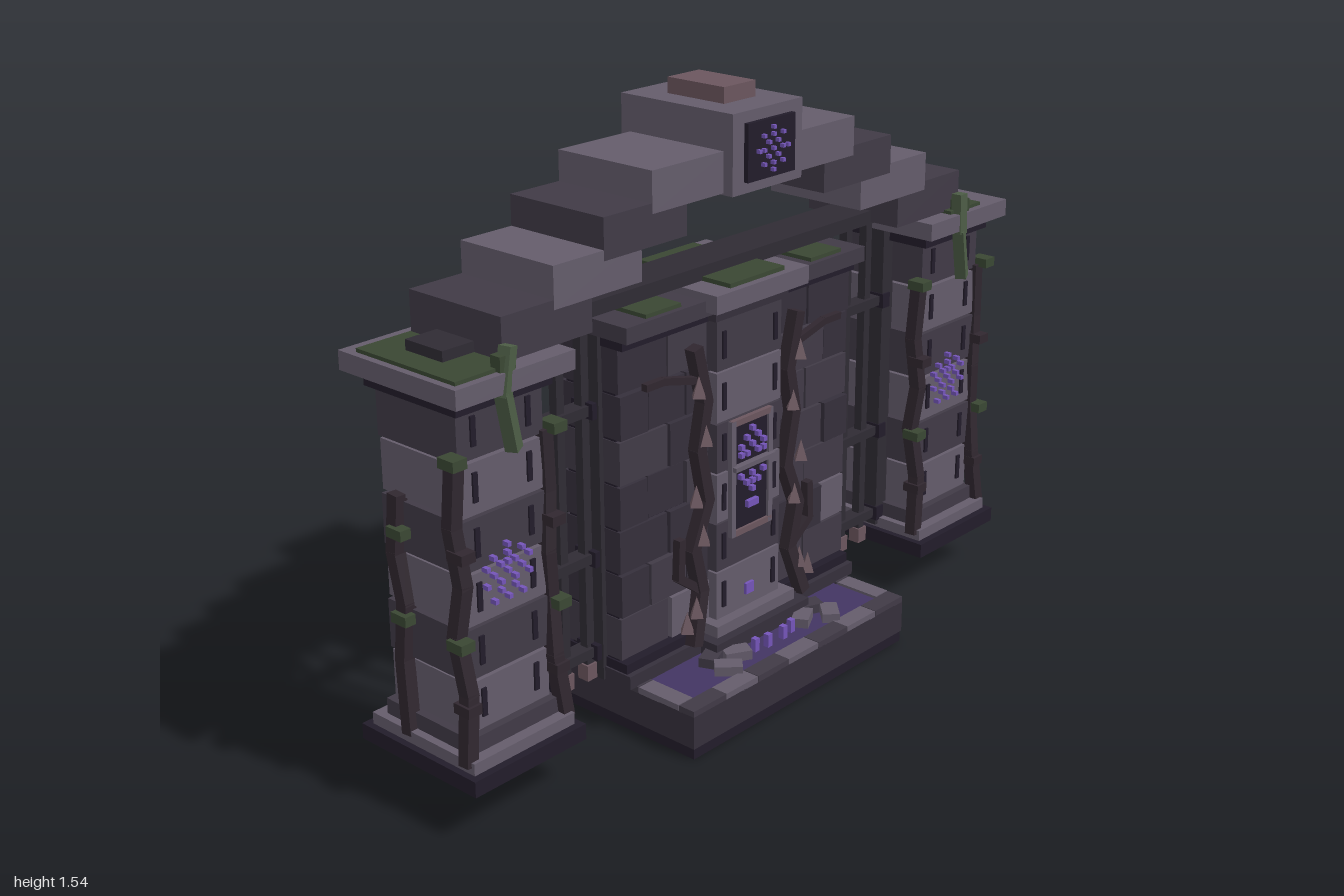
import * as THREE from 'three';

const mats = {};
const COLORS = {
  black: 0x221c2a, dark: 0x403a46, mid: 0x352f3b, light: 0x645c6b, iron: 0x2f2b34,
  vine: 0x30272f, moss: 0x3a4733, leaf: 0x4c5c45, rose: 0x6b565e, pool: 0x433562, rune: 0x7455b8,
};
const mat = (c) => (mats[c] ??= new THREE.MeshStandardMaterial({ color: COLORS[c], flatShading: true }));

let seed = 7;
const rand = () => (seed = (seed * 16807) % 2147483647) / 2147483647;

// Box given by its min and max on each axis
function block(parent, name, c, x0, x1, y0, y1, z0, z1) {
  const m = new THREE.Mesh(new THREE.BoxGeometry(x1 - x0, y1 - y0, z1 - z0), mat(c));
  m.position.set((x0 + x1) / 2, (y0 + y1) / 2, (z0 + z1) / 2);
  m.name = name;
  parent.add(m);
  return m;
}
// Box given by centre and size
const cube = (parent, name, c, x, y, z, w, h, d) =>
  block(parent, name, c, x - w / 2, x + w / 2, y - h / 2, y + h / 2, z - d / 2, z + d / 2);

// Chain of square stems through points
function vine(parent, name, c, pts, t) {
  const v = pts.map((p) => new THREE.Vector3(...p));
  for (let i = 0; i + 1 < v.length; i++) {
    const mid = v[i].clone().add(v[i + 1]).multiplyScalar(0.5);
    const m = cube(parent, name, c, mid.x, mid.y, mid.z, t, v[i].distanceTo(v[i + 1]) + t * 0.3, t);
    m.quaternion.setFromUnitVectors(new THREE.Vector3(0, 1, 0), v[i + 1].clone().sub(v[i]).normalize());
  }
}

// Small glowing cubes laid out from rows of a pattern
function runes(parent, rows, x, y, z, step, size) {
  rows.forEach((row, j) => [...row].forEach((ch, i) => {
    if (ch === '#') cube(parent, 'rune', 'rune', x + (i - (row.length - 1) / 2) * step,
      y - (j - (rows.length - 1) / 2) * step, z, size, size, 0.018);
  }));
}

function pillar(s) {
  const g = new THREE.Group();
  g.name = s > 0 ? 'leftPillar' : 'rightPillar';
  g.position.x = s * 0.828;
  cube(g, 'foot', 'black', 0, 0.14, 0, 0.344, 0.04, 0.39);
  cube(g, 'footStep', 'light', 0, 0.175, 0, 0.31, 0.03, 0.35);
  cube(g, 'plinth', 'dark', 0, 0.21, 0, 0.27, 0.04, 0.29);
  for (let i = 0; i < 6; i++) {
    const y = 0.235 + i * 0.13, w = i % 2 ? 0.25 : 0.24;
    block(g, 'pillarBlock', i % 2 ? 'dark' : 'light', -w / 2, w / 2, y, y + 0.122, -0.13, 0.13);
    for (const x of [-0.08, 0.08]) cube(g, 'slit', 'black', x, y + 0.065, 0.131, 0.014, 0.07, 0.008);
  }
  cube(g, 'neck', 'black', 0, 1.018, 0, 0.28, 0.035, 0.3);
  cube(g, 'capital', 'light', 0, 1.058, 0, 0.345, 0.046, 0.38);
  runes(g, ['...#...', '.#.#.#.', '#.###.#', '.#.#.#.', '#.#.#.#', '..#.#..', '.#.#.#.'], 0, 0.6, 0.138, 0.021, 0.011);
  // Creepers on the corners and outer side
  for (const e of [-1, 1]) {
    vine(g, 'creeper', 'vine', [[e * 0.15, 0.18, 0.15], [e * 0.13, 0.34, 0.14], [e * 0.14, 0.48, 0.12],
      [e * 0.125, 0.6, 0.13], [e * 0.14, 0.74, 0.12], [e * 0.13, 0.89, 0.125]], 0.032);
    [0.31, 0.47, 0.68, 0.9].forEach((y, i) =>
      cube(g, 'creeperLeaf', i % 2 ? 'moss' : 'vine', e * (0.135 + 0.012 * (i % 2)), y, 0.14, 0.04, 0.025, 0.05));
  }
  vine(g, 'creeper', 'vine', [[s * 0.14, 0.18, -0.055], [s * 0.135, 0.36, -0.07], [s * 0.13, 0.5, -0.06],
    [s * 0.135, 0.62, -0.08], [s * 0.13, 0.76, -0.07]], 0.032);
  for (const y of [0.47, 0.68]) cube(g, 'creeperLeaf', 'moss', s * 0.145, y, -0.055, 0.03, 0.025, 0.05);
  // Moss on the capital and the strand hanging from it
  const out = s < 0 ? [-0.155, 0.0] : [-0.06, 0.075];
  block(g, 'moss', 'moss', out[0], out[1], 1.08, 1.09, -0.15, 0.17);
  vine(g, 'hangingMoss', 'leaf', [[-0.01 * s - 0.02, 1.13, 0.175], [-0.03, 1.03, 0.178], [0, 0.9, 0.172]], 0.03);
  cube(g, 'hangingMoss', 'moss', -0.02, 1.1, 0.17, 0.045, 0.035, 0.03);
  return g;
}

function railing(s) {
  const g = new THREE.Group();
  g.name = s > 0 ? 'leftRailing' : 'rightRailing';
  for (const x of [0.455, 0.535, 0.62]) {
    cube(g, 'bar', 'iron', s * x, 0.62, 0, 0.024, 0.93, 0.024);
    cube(g, 'barTip', 'rose', s * x, 0.15, 0, 0.034, 0.042, 0.034);
  }
  cube(g, 'post', 'iron', s * 0.685, 0.62, 0, 0.045, 0.9, 0.06);
  for (const y of [0.205, 0.455, 0.835]) {
    cube(g, 'rail', 'iron', s * 0.565, y, 0, 0.27, 0.026, 0.045);
    for (const x of [0.44, 0.675]) cube(g, 'railEnd', 'black', s * x, y, 0, 0.03, 0.04, 0.07);
  }
  return g;
}

// Brick wall on one side of the centre column
function wall(s) {
  const g = new THREE.Group();
  g.name = s > 0 ? 'leftWall' : 'rightWall';
  const X = (name, c, a, b, y0, y1, z) => block(g, name, c, Math.min(s * a, s * b), Math.max(s * a, s * b), y0, y1, -z, z);
  X('wallCore', 'black', 0.08, 0.425, 0.13, 1.02, 0.08);
  for (let r = 0; r < 7; r++) {
    const cuts = r % 2 ? [0.1, 0.2, 0.33, 0.43] : [0.1, 0.26, 0.43];
    for (let i = 0; i + 1 < cuts.length; i++) {
      const k = rand(), y = 0.195 + r * 0.115;
      X('brick', k < 0.12 ? 'light' : k < 0.6 ? 'dark' : 'mid', cuts[i] + 0.003, cuts[i + 1] - 0.003, y, y + 0.109, 0.088 + 0.012 * rand());
    }
  }
  X('wallFoot', 'mid', 0.1, 0.435, 0.13, 0.165, 0.125);
  X('wallFootStep', 'black', 0.1, 0.43, 0.165, 0.19, 0.11);
  X('frieze', 'black', 0.1, 0.43, 0.995, 1.02, 0.11);
  X('coping', 'dark', 0.12, 0.44, 1.02, 1.06, 0.135);
  X('copingMoss', 'moss', 0.24, 0.36, 1.06, 1.07, 0.12);
  X('edgePost', 'iron', 0.42, 0.44, 0.13, 1.02, 0.04);
  // Climbing stems with thorns, front and back
  for (const f of [-1, 1]) {
    const z = f * 0.115;
    vine(g, 'climber', 'vine', [[s * 0.21, 0.17, f * 0.13], [s * 0.17, 0.3, z], [s * 0.2, 0.42, z], [s * 0.15, 0.54, z],
      [s * 0.18, 0.68, z], [s * 0.155, 0.8, z], [s * 0.19, 0.94, z]], 0.032);
    vine(g, 'climberBranch', 'vine', [[s * 0.17, 0.3, z], [s * 0.25, 0.36, z], [s * 0.245, 0.46, z]], 0.022);
    vine(g, 'climberBranch', 'vine', [[s * 0.18, 0.86, z], [s * 0.3, 0.89, z], [s * 0.36, 0.89, z]], 0.018);
    for (const [x, y] of [[0.2, 0.27], [0.235, 0.24], [0.175, 0.46], [0.2, 0.57], [0.165, 0.72], [0.19, 0.85]]) {
      const t = new THREE.Mesh(new THREE.ConeGeometry(0.022, 0.055, 4), mat('rose'));
      t.position.set(s * x, y, f * 0.13);
      t.name = 'thorn';
      g.add(t);
    }
  }
  return g;
}

function centreColumn() {
  const g = new THREE.Group();
  g.name = 'centreColumn';
  cube(g, 'columnFoot', 'mid', 0, 0.15, 0, 0.36, 0.04, 0.36);
  cube(g, 'columnFootStep', 'light', 0, 0.185, 0, 0.3, 0.03, 0.31);
  for (let i = 0; i < 6; i++) {
    const y = 0.2 + i * 0.133;
    block(g, 'columnBlock', i % 2 ? 'dark' : 'light', -0.12, 0.12, y, y + 0.128, -0.125, 0.125);
    for (const x of [-0.095, 0.095]) cube(g, 'slit', 'black', x, y + 0.065, 0.126, 0.013, 0.07, 0.008);
  }
  cube(g, 'columnNeck', 'mid', 0, 1.015, 0, 0.27, 0.035, 0.27);
  cube(g, 'columnCap', 'light', 0, 1.055, 0, 0.34, 0.046, 0.34);
  cube(g, 'capMoss', 'moss', 0, 1.083, 0, 0.2, 0.012, 0.3);
  // Framed plaques on both faces
  for (const f of [-1, 1]) {
    cube(g, 'plaque', 'black', 0, 0.57, f * 0.125, 0.13, 0.28, 0.012);
    for (const s of [-1, 1]) {
      cube(g, 'plaqueFrame', 'light', s * 0.07, 0.57, f * 0.128, 0.016, 0.31, 0.02);
      cube(g, 'plaqueFrame', 'rose', 0, 0.57 + s * 0.148, f * 0.128, 0.15, 0.016, 0.02);
    }
  }
  cube(g, 'shelf', 'light', 0, 0.6, 0.137, 0.15, 0.012, 0.025);
  runes(g, ['..#..', '.#.#.', '#.#.#', '##.##'], 0, 0.66, 0.135, 0.021, 0.013);
  runes(g, ['#.#.#', '.###.', '..#..'], 0, 0.55, 0.135, 0.021, 0.013);
  cube(g, 'rune', 'rune', 0, 0.49, 0.135, 0.04, 0.018, 0.015);
  for (const y of [0.49, 0.57, 0.65]) cube(g, 'rune', 'rune', 0, y, -0.132, 0.04, 0.02, 0.012);
  cube(g, 'crystal', 'rune', 0, 0.25, 0.128, 0.03, 0.03, 0.01);
  return g;
}

function basin() {
  const g = new THREE.Group();
  g.name = 'basin';
  cube(g, 'basinSole', 'black', 0, 0.015, 0, 0.82, 0.03, 0.62);
  cube(g, 'basinBody', 'mid', 0, 0.073, 0, 0.826, 0.087, 0.626);
  cube(g, 'pool', 'pool', 0, 0.118, 0, 0.73, 0.014, 0.54);
  for (const f of [-1, 1]) {
    // Rim stones along the long and short sides
    for (let i = 0; i < 7; i++) {
      const x = -0.413 + i * 0.118;
      block(g, 'rimStone', i % 2 ? 'light' : 'dark', x, x + 0.116, 0.115, 0.132, f * 0.289 - 0.024, f * 0.289 + 0.024);
    }
    for (let i = 0; i < 4; i++) {
      const z = -0.265 + i * 0.1325;
      block(g, 'rimStone', i % 2 ? 'light' : 'dark', f * 0.388 - 0.025, f * 0.388 + 0.025, 0.115, 0.132, z, z + 0.13);
    }
    // Broken stones and crystals around the column foot
    for (const s of [-1, 1]) {
      [[0.13, 0.2, 0.5], [0.19, 0.17, -0.4], [0.2, 0.235, 0.8]].forEach(([x, z, a], i) => {
        cube(g, 'rubble', i % 2 ? 'dark' : 'light', s * x, 0.135, f * z, 0.07, 0.03, 0.045).rotation.y = s * f * a;
      });
      for (const x of [0.03, 0.07]) cube(g, 'crystal', 'rune', s * x, 0.14, f * (0.225 - x * 0.2), 0.016, 0.04, 0.016);
    }
  }
  return g;
}

function arch() {
  const g = new THREE.Group();
  g.name = 'arch';
  cube(g, 'lintel', 'iron', 0, 1.097, 0, 1.84, 0.036, 0.12);
  const steps = [[0.56, 0.83, 1.085, 1.188], [0.4, 0.675, 1.165, 1.265], [0.25, 0.52, 1.24, 1.34], [0.11, 0.365, 1.315, 1.415]];
  for (const s of [-1, 1]) steps.forEach(([a, b, y0, y1], i) =>
    cube(g, 'archStone', i % 2 ? 'light' : 'dark', s * (a + b) / 2, (y0 + y1) / 2, 0, b - a, y1 - y0, 0.295 + 0.001 * i));
  cube(g, 'keystone', 'light', 0, 1.408, 0, 0.25, 0.195, 0.355);
  cube(g, 'crown', 'rose', 0, 1.525, 0, 0.112, 0.04, 0.18);
  cube(g, 'keystonePanel', 'black', 0, 1.408, 0.18, 0.17, 0.14, 0.02);
  runes(g, ['...#...', '.#.#.#.', '..#.#..', '##.#.##', '..#.#..', '.#.#.#.', '...#...'], 0, 1.408, 0.192, 0.017, 0.009);
  return g;
}

export function createModel() {
  seed = 7;
  const model = new THREE.Group();
  model.name = 'ruinedGateway';
  model.add(basin(), centreColumn(), arch());
  for (const s of [-1, 1]) model.add(pillar(s), railing(s), wall(s));
  return model;
}
